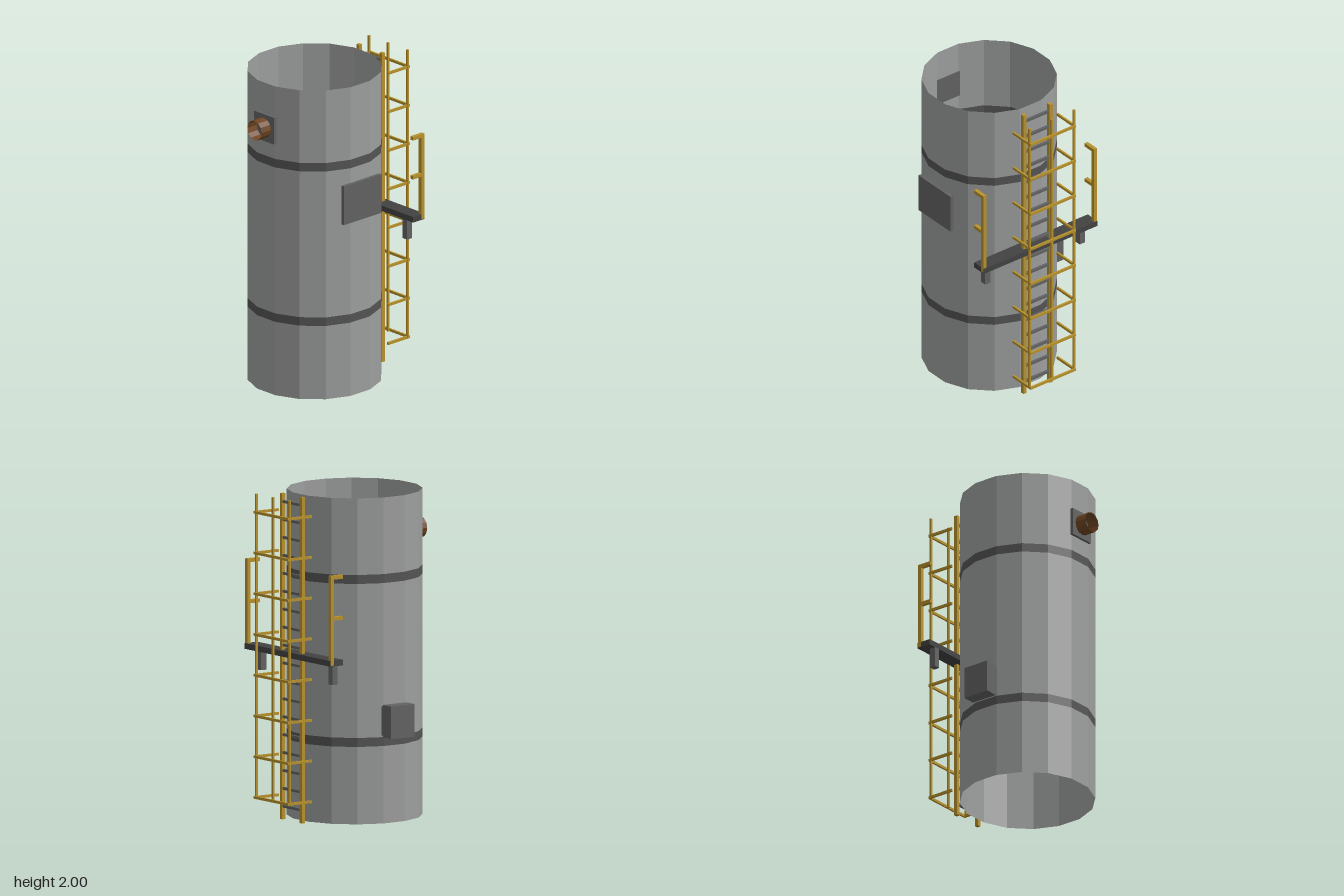
import * as THREE from 'three';

const mat = (name, color, extra = {}) =>
  Object.assign(new THREE.MeshStandardMaterial({ color, ...extra }), { name });

export function createModel() {
  const model = new THREE.Group();
  model.name = 'storageTank';
  const open = { flatShading: true, side: THREE.DoubleSide };
  const shell = mat('shellGrey', 0x9c9d9d, open);
  const seam = mat('seamGrey', 0x545455, open);
  const plate = mat('plateGrey', 0x626263);
  const deck = mat('deckGrey', 0x424243);
  const yellow = mat('safetyYellow', 0xb8922c);
  const rust = mat('rustBrown', 0x704624, open);
  const CX = 0.03, CZ = 0.065, R = 0.412;

  const group = (name) => {
    const g = new THREE.Group();
    g.name = name;
    model.add(g);
    return g;
  };
  // Box given by its lower and upper limits on each axis
  const box = (parent, name, material, [x0, x1], [y0, y1], [z0, z1]) => {
    const m = new THREE.Mesh(new THREE.BoxGeometry(x1 - x0, y1 - y0, z1 - z0), material);
    m.position.set((x0 + x1) / 2, (y0 + y1) / 2, (z0 + z1) / 2);
    m.name = name;
    parent.add(m);
  };
  const around = (c, t) => [c - t / 2, c + t / 2];

  // Open sixteen-sided shell, divided by two dark seam bands
  const tank = group('tank');
  const levels = [0, 0.475, 0.53, 1.475, 1.53, 2];
  for (let i = 0; i < 5; i++) {
    const h = levels[i + 1] - levels[i];
    const m = new THREE.Mesh(
      new THREE.CylinderGeometry(R, R, h, 16, 1, true, Math.PI / 16), i % 2 ? seam : shell);
    m.position.set(CX, levels[i] + h / 2, CZ);
    m.name = i % 2 ? 'seamBand' : 'shellSection';
    tank.add(m);
  }

  // Front outlet: flange plate and open pipe
  const outlet = group('outlet');
  box(outlet, 'flange', plate, [-0.058, 0.118], [1.63, 1.803], [0.463, 0.487]);
  const pipe = new THREE.Mesh(new THREE.CylinderGeometry(0.063, 0.063, 0.078, 12, 1, true), rust);
  pipe.rotation.x = Math.PI / 2;
  pipe.position.set(CX, 1.717, 0.526);
  pipe.name = 'pipe';
  outlet.add(pipe);

  // Side hatch and control box
  box(model, 'sideHatch', plate, [0.431, 0.454], [1.13, 1.38], [-0.095, 0.218]);
  const control = group('controlBox');
  box(control, 'housing', plate, [-0.47, -0.385], [0.53, 0.73], [-0.027, 0.15]);
  box(control, 'backing', plate, [-0.385, -0.358], [0.54, 0.72], [-0.027, 0.15]);

  // Rear platform with brackets and end railings
  const platform = group('platform');
  box(platform, 'deck', deck, [-0.408, 0.468], [1.005, 1.04], [-0.44, -0.345]);
  for (const s of [-1, 1]) {
    box(platform, 'bracket', plate, around(CX + s * 0.365, 0.04), [0.88, 1.005], [-0.385, -0.345]);
    const rail = around(CX + s * 0.427, 0.024);
    box(platform, 'railPost', yellow, rail, [1.01, 1.56], [-0.436, -0.412]);
    box(platform, 'topRail', yellow, rail, [1.537, 1.56], [-0.412, -0.343]);
    box(platform, 'midRail', yellow, rail, [1.285, 1.307], [-0.412, -0.343]);
  }

  // Ladder
  const ladder = group('ladder');
  for (const s of [-1, 1])
    box(ladder, 'stile', yellow, around(CX + s * 0.101, 0.024), [0, 2], [-0.415, -0.391]);
  for (let i = 0; i < 18; i++)
    box(ladder, 'rung', plate, [-0.06, 0.12], around(0.08 + i * 0.11, 0.016), [-0.411, -0.395]);

  // Square safety cage round the ladder
  const cage = group('safetyCage');
  for (let i = 0; i < 8; i++) {
    const y = around(0.138 + i * 0.25, 0.016);
    box(cage, 'hoopBack', yellow, [-0.146, 0.206], y, [-0.565, -0.553]);
    for (const s of [-1, 1])
      box(cage, 'hoopArm', yellow, around(CX + s * 0.17, 0.012), y, [-0.553, -0.385]);
  }
  for (const s of [-1, 0, 1])
    box(cage, 'cageUpright', yellow, around(CX + s * 0.17, 0.013), [0.13, 2], [-0.555, -0.542]);

  return model;
}
